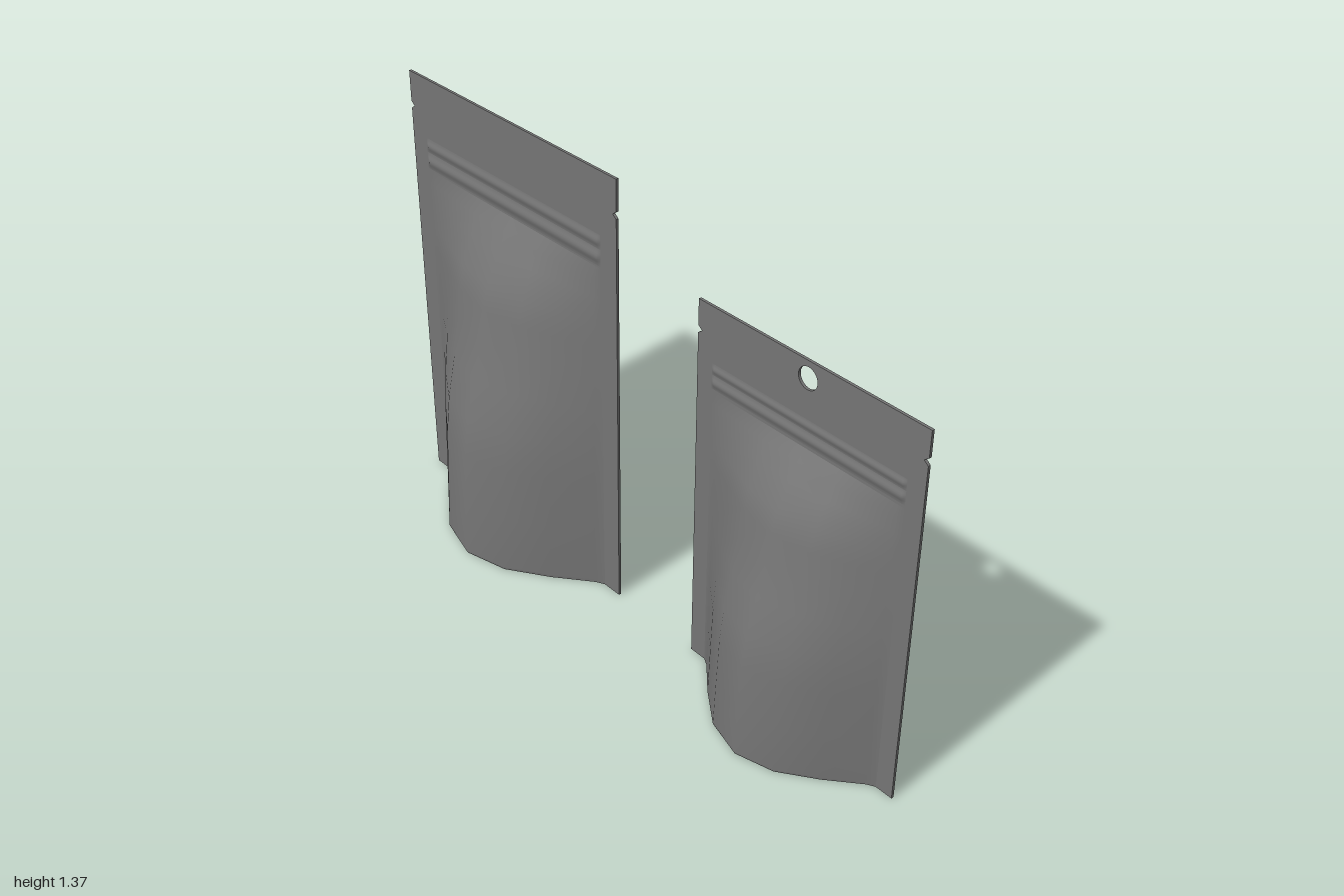
import * as THREE from 'three';

const material = new THREE.MeshStandardMaterial({ color: 0x757575, side: THREE.DoubleSide });
const THICK = 0.008;
const FILM_Z = -0.006; // the film lies slightly behind the middle

// Fullness of the pouch: column positions across the width, and depth by height (fractions)
const COLS = [-1, -0.93, -0.66, -0.35, 0, 0.35, 0.66, 0.93, 1];
const HEM = 0.975;
const ROWS = [[0, HEM], [0.01, 1], [0.17, 0.965], [0.33, 0.925], [0.44, 0.85], [0.56, 0.7],
  [0.67, 0.57], [0.76, 0.5], [0.83, 0.42], [0.91, 0.23], [0.96, 0.1], [1, 0]];

function lens(u, v) {
  return Math.pow(Math.max(0, 1 - u * u), 1.35 + 0.3 * v);
}

// Smooth surface from a grid of points
function gridSurface(us, vs, point, flip) {
  const pos = [], index = [];
  vs.forEach(v => us.forEach(u => pos.push(...point(u, v))));
  const n = us.length;
  for (let j = 0; j < vs.length - 1; j++) {
    for (let i = 0; i < n - 1; i++) {
      const a = j * n + i, b = a + 1, c = a + n, d = c + 1;
      if (flip) index.push(a, d, b, a, c, d);
      else index.push(a, b, d, a, d, c);
    }
  }
  const g = new THREE.BufferGeometry();
  g.setAttribute('position', new THREE.Float32BufferAttribute(pos, 3));
  g.setIndex(index);
  g.computeVertexNormals();
  return g;
}

function add(group, name, geometry) {
  const mesh = new THREE.Mesh(geometry, material);
  mesh.name = name;
  group.add(mesh);
}

function makePouch(p) {
  const { width, height, fillTop, depth, seal, notchY, zips, hole } = p;
  const group = new THREE.Group();
  const w = width / 2, inner = w - seal;

  // Flat film: header and side seals, with a tear notch on each side
  const n = 0.011, nd = 0.014;
  const outline = [[-w, 0], [-inner, 0], [-inner, fillTop], [inner, fillTop], [inner, 0], [w, 0],
    [w, notchY - n], [w - nd, notchY], [w, notchY + n], [w, height],
    [-w, height], [-w, notchY + n], [-w + nd, notchY], [-w, notchY - n]];
  const shape = new THREE.Shape(outline.map(([x, y]) => new THREE.Vector2(x, y)));
  if (hole) {
    const path = new THREE.Path();
    path.absarc(0, hole.y, hole.r, 0, Math.PI * 2, true);
    shape.holes.push(path);
  }
  const film = new THREE.ExtrudeGeometry(shape, { depth: THICK, bevelEnabled: false, curveSegments: 16 });
  film.translate(0, 0, -THICK / 2);
  add(group, 'headerAndSideSeals', film);

  // Both sides: bulging wall and soft zip closure ridges
  const wallZ = (u, v, fill, s) => s * (THICK / 2 + (depth - s * FILM_Z) * fill * lens(u, v));
  const bump = [-1, -0.75, -0.5, -0.25, 0, 0.25, 0.5, 0.75, 1];
  const ridgeCols = [-1, -0.97, 0.97, 1];
  for (const s of [1, -1]) {
    const side = s > 0 ? 'front' : 'back';
    add(group, side + 'Wall', gridSurface(COLS, ROWS, (u, [v, fill]) =>
      [u * inner, v * fillTop, wallZ(u, v, fill, s)], s < 0));
    for (const [y, r, h] of zips) {
      add(group, side + 'ZipRidge', gridSurface(ridgeCols, bump, (u, t) => {
        const rise = Math.abs(u) < 1 ? h * Math.cos(t * Math.PI / 2) ** 2 : 0;
        return [u * inner, y + t * r, s * (THICK / 2 + 0.0005 + rise)];
      }, s < 0));
    }
  }

  // Bottom gusset folded up into the pouch
  add(group, 'bottomGusset', gridSurface(COLS, bump, (u, t) => {
    const z = THREE.MathUtils.lerp(wallZ(u, 0, HEM, -1), wallZ(u, 0, HEM, 1), (t + 1) / 2);
    return [u * inner, p.gusset * (1 - t * t) * (1 - u * u), z];
  }, false));

  group.position.z = FILM_Z;
  return group;
}

export function createModel() {
  const model = new THREE.Group();

  const large = makePouch({
    width: 0.912, height: 1.37, fillTop: 1.08, depth: 0.218, seal: 0.065, gusset: 0.12,
    notchY: 1.265, zips: [[1.112, 0.026, 0.006], [1.16, 0.022, 0.005]],
  });
  large.name = 'largePouch';
  large.position.x = -0.544;

  const small = makePouch({
    width: 0.77, height: 1.16, fillTop: 0.91, depth: 0.193, seal: 0.055, gusset: 0.1,
    notchY: 1.072, zips: [[0.94, 0.021, 0.005], [0.978, 0.017, 0.004]], hole: { y: 1.11, r: 0.032 },
  });
  small.name = 'smallPouch';
  small.position.x = 0.615;

  model.add(large, small);
  return model;
}
